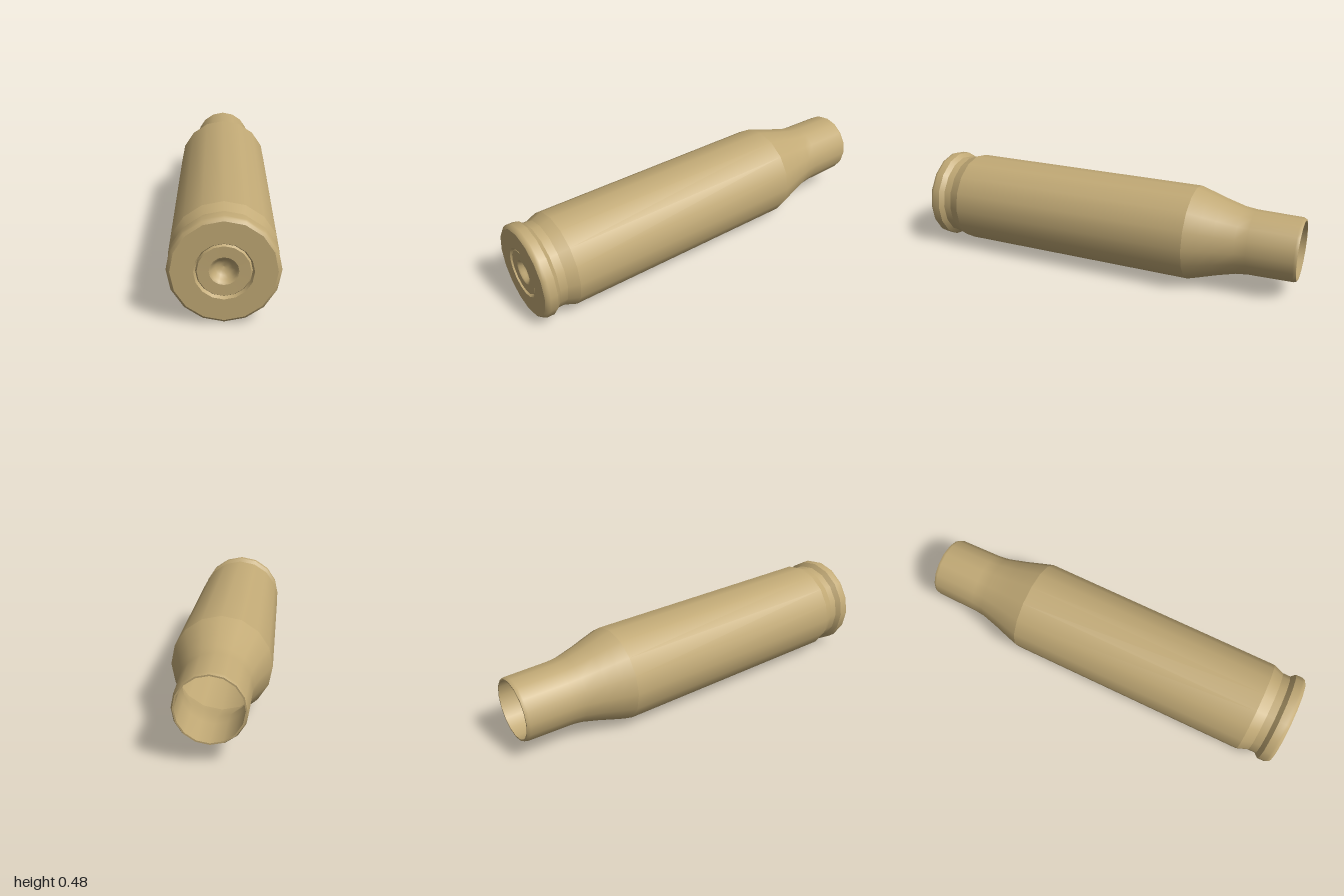
import * as THREE from 'three';
import { mergeGeometries } from 'three/addons/utils/BufferGeometryUtils.js';

const SIDES = 16;
const RADIUS = 0.241;

// Turn strips of [radius, z] points around the z axis; strips meet at sharp edges.
function turned(name, strips, material) {
  const parts = strips.map((strip) =>
    new THREE.LatheGeometry(strip.map(([r, z]) => new THREE.Vector2(r, z)), SIDES).rotateX(Math.PI / 2));
  const mesh = new THREE.Mesh(mergeGeometries(parts), material);
  mesh.name = name;
  mesh.position.y = RADIUS;
  return mesh;
}

export function createModel() {
  const group = new THREE.Group();
  group.name = 'emptyCase';
  const brass = new THREE.MeshStandardMaterial({ color: 0xc2aa76 });

  // Hollow inside, from the floor out to the mouth
  group.add(turned('innerWall', [
    [[0, 0.78], [0.2, 0.78]],
    [[0.2, 0.78], [0.226, 0.6], [0.228, -0.46]],
    [[0.228, -0.46], [0.208, -0.54], [0.156, -0.71], [0.15, -0.8], [0.146, -1]],
  ], brass));

  // Mouth lip, neck, shoulder and body
  group.add(turned('body', [
    [[0.146, -1], [0.153, -1]],
    [[0.153, -1], [0.16, -0.985], [0.164, -0.76], [0.171, -0.7], [0.198, -0.6], [0.22, -0.53], [RADIUS, -0.46]],
    [[RADIUS, -0.46], [0.238, 0.825]],
  ], brass));

  // Extractor groove
  group.add(turned('groove', [
    [[0.238, 0.825], [0.217, 0.88]],
    [[0.217, 0.88], [0.217, 0.92]],
  ], brass));

  // Rim and flat base up to the primer pocket
  group.add(turned('rim', [
    [[0.217, 0.92], [0.237, 0.942]],
    [[0.237, 0.942], [0.237, 0.978], [0.232, 0.992], [0.221, 1]],
    [[0.221, 1], [0.125, 1]],
    [[0.125, 1], [0.117, 0.985]],
  ], brass));

  // Primer cap with the struck dimple
  group.add(turned('primer', [
    [[0.117, 0.985], [0.111, 0.995]],
    [[0.111, 0.995], [0.062, 0.994]],
    [[0.062, 0.994], [0.054, 0.989], [0.047, 0.975], [0.035, 0.96], [0.018, 0.951], [0, 0.948]],
  ], brass));

  return group;
}
